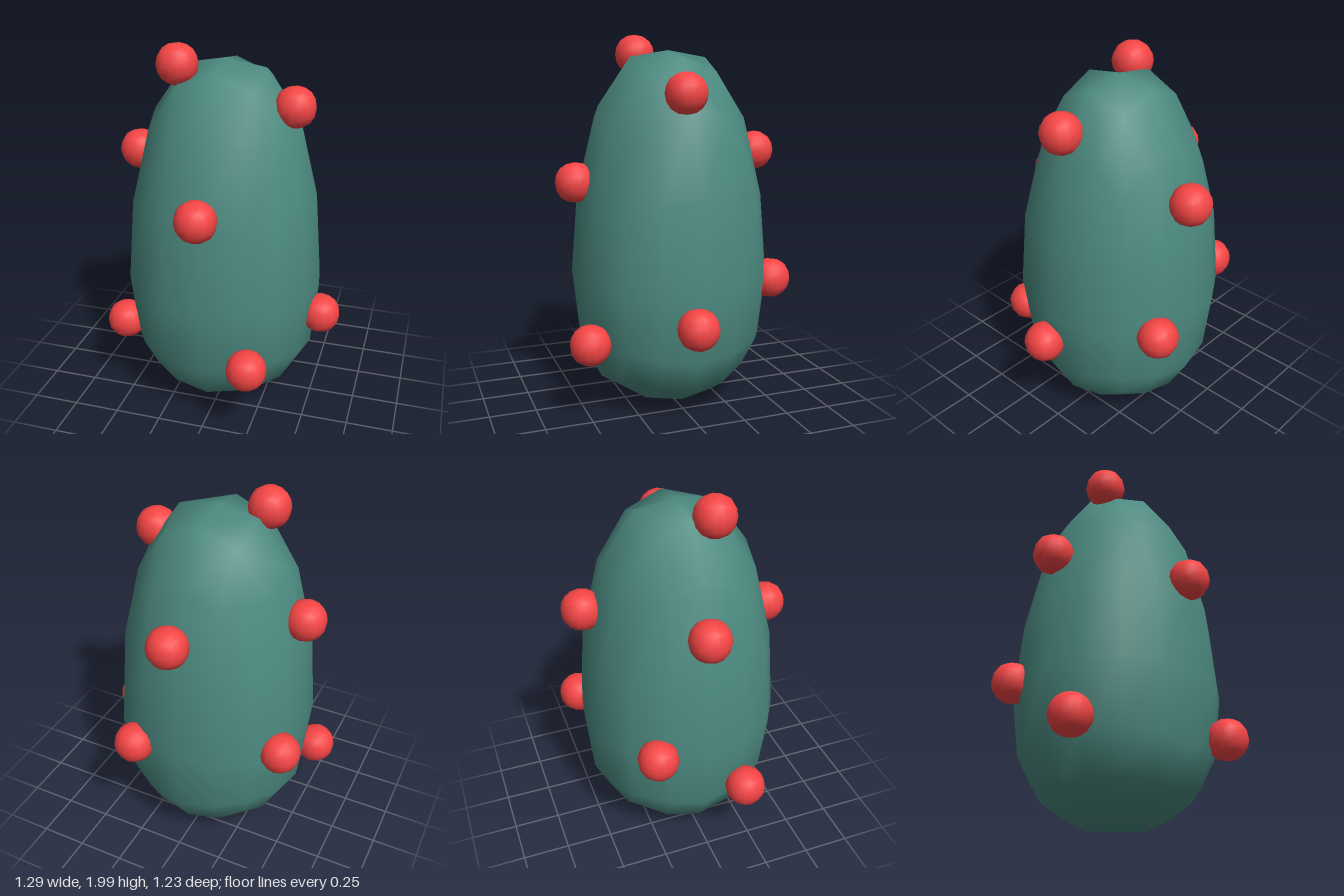
import * as THREE from 'three';
import { mergeVertices } from 'three/addons/utils/BufferGeometryUtils.js';

// Rounded cube ball: for each kind of grid point, where its outer (1) and
// half-way (0.5) coordinates land after smoothing the cube.
const ROUNDING = {
  '1,0,0': [1, 0],
  '1,0.5,0': [0.933, 0.4],
  '1,1,0': [0.732, 0],
  '1,0.5,0.5': [0.87, 0.371],
  '1,1,0.5': [0.682, 0.344],
  '1,1,1': [0.58, 0],
};

// Unit ball made of a 4 x 4 grid per cube face; place() puts each point
function roundedCube(place) {
  let geo = new THREE.BoxGeometry(2, 2, 2, 4, 4, 4);
  geo.deleteAttribute('uv');
  geo.deleteAttribute('normal');
  geo = mergeVertices(geo);
  const pos = geo.attributes.position;
  for (let i = 0; i < pos.count; i++) {
    const p = [pos.getX(i), pos.getY(i), pos.getZ(i)];
    const key = p.map(Math.abs).sort((a, b) => b - a).join(',');
    const [outer, half] = ROUNDING[key];
    const v = p.map((c) => {
      const a = Math.abs(c);
      return Math.sign(c) * (a === 1 ? outer : a === 0.5 ? half : 0);
    });
    pos.setXYZ(i, ...place(...v));
  }
  geo.computeVertexNormals();
  return geo;
}

// Height of the body at each level of the unit ball: full below, tapering above
const LEVELS = [
  [-1, 0.01], [-0.933, 0.04], [-0.732, 0.15], [-0.4, 0.34], [0, 0.71],
  [0.4, 1.19], [0.732, 1.63], [0.933, 1.88], [1, 1.915],
];

function heightAt(t) {
  let i = 1;
  while (i < LEVELS.length - 1 && t > LEVELS[i][0]) i++;
  const [t0, y0] = LEVELS[i - 1];
  const [t1, y1] = LEVELS[i];
  return y0 + ((y1 - y0) * (t - t0)) / (t1 - t0);
}

// Centres of the knobs scattered over the body
const KNOBS = [
  [-0.23, 1.895, 0.105],
  [0.36, 1.7, 0.03],
  [-0.495, 1.39, -0.015],
  [0.02, 1.375, -0.505],
  [-0.015, 1.235, 0.505],
  [-0.5, 0.73, -0.285],
  [0.245, 0.695, -0.51],
  [0.54, 0.55, 0.03],
  [0.245, 0.43, 0.505],
  [-0.54, 0.43, 0.195],
];

export function createModel() {
  const group = new THREE.Group();
  const teal = new THREE.MeshStandardMaterial({ color: 0x4c8a80 });
  const red = new THREE.MeshStandardMaterial({ color: 0xf54545 });

  // Egg-shaped body
  const R = 0.53;
  const body = new THREE.Mesh(
    roundedCube((x, y, z) => [x * R - 0.01, heightAt(y), z * R - 0.01]),
    teal
  );
  body.name = 'body';
  group.add(body);

  // Round knobs half sunk into the body
  const r = 0.106;
  const ball = roundedCube((x, y, z) => [x * r, y * r, z * r]);
  KNOBS.forEach((centre, i) => {
    const knob = new THREE.Mesh(ball, red);
    knob.name = `knob${i + 1}`;
    knob.position.set(...centre);
    group.add(knob);
  });

  return group;
}
